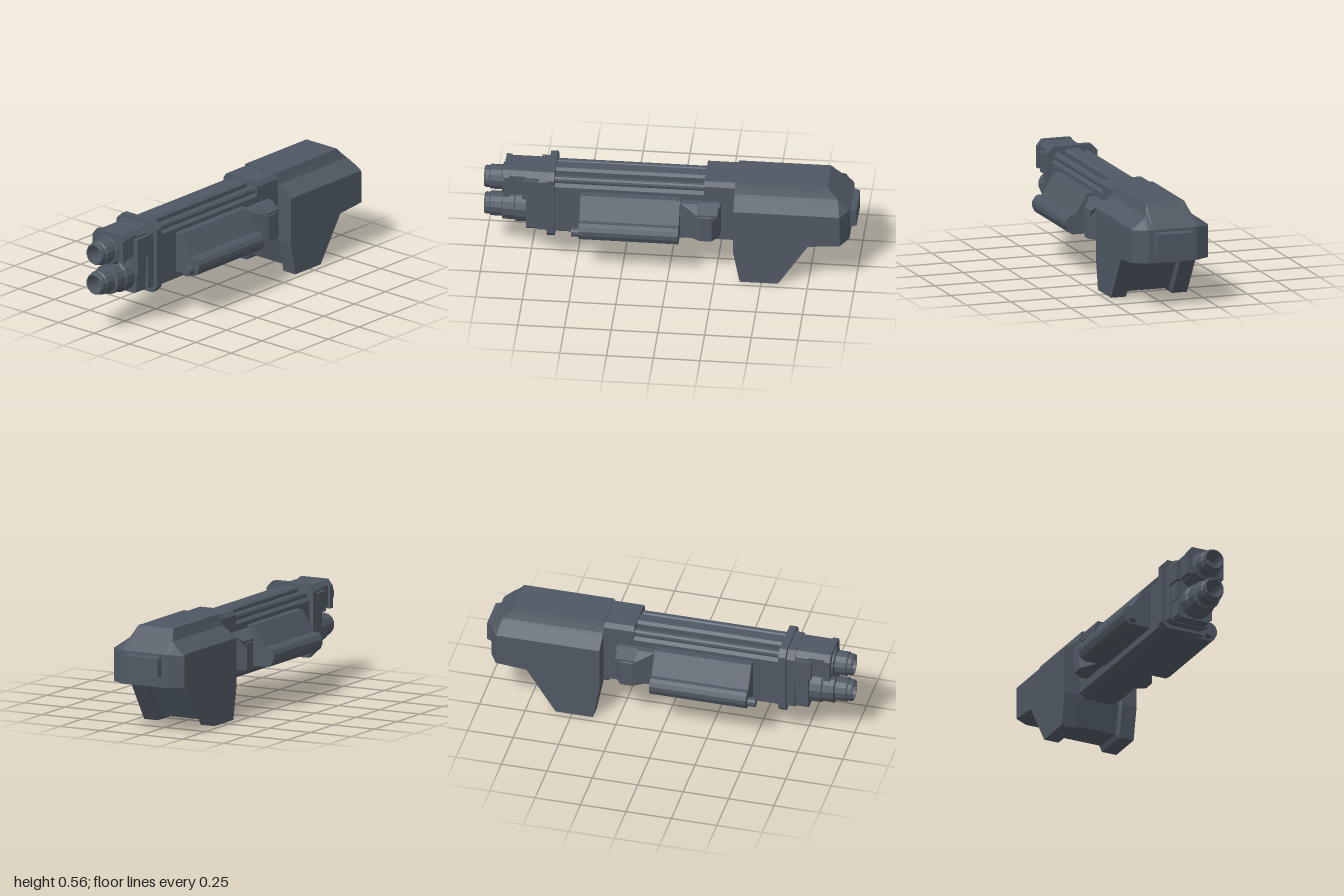
import * as THREE from 'three';
import { ConvexGeometry } from 'three/addons/geometries/ConvexGeometry.js';

const material = new THREE.MeshStandardMaterial({ color: 0x4f5863, flatShading: true });

export function createModel() {
  const model = new THREE.Group();
  const add = (name, geometry) => {
    const mesh = new THREE.Mesh(geometry, material);
    mesh.name = name;
    model.add(mesh);
    return mesh;
  };

  // Extrudes an x/y outline from z0 to z1
  const prism = (name, points, z0, z1) => {
    const shape = new THREE.Shape(points.map(([x, y]) => new THREE.Vector2(x, y)));
    const geometry = new THREE.ExtrudeGeometry(shape, { depth: z1 - z0, bevelEnabled: false });
    return add(name, geometry.translate(0, 0, z0));
  };
  // Symmetric outline from its +x half
  const both = (half) => [...half, ...half.map(([x, y]) => [-x, y]).reverse()];
  const box = (name, x0, x1, y0, y1, z0, z1) =>
    add(name, new THREE.BoxGeometry(Math.abs(x1 - x0), y1 - y0, z1 - z0)
      .translate((x0 + x1) / 2, (y0 + y1) / 2, (z0 + z1) / 2));
  const rod = (name, x, y, r, z0, z1, sides = 12) =>
    add(name, new THREE.CylinderGeometry(r, r, z1 - z0, sides).rotateX(Math.PI / 2)
      .translate(x, y, (z0 + z1) / 2));

  // Rear housing: side profiles lofted across x, recessed between the two feet
  const profile = (x, topY, topZ, rearY, rearZ, inset) => [
    [-0.35, topY], [topZ, topY], [rearZ, rearY], [rearZ, 0.26],
    [-0.75 + inset, 0.245 + inset * 0.6], [-0.59 + inset * 0.6, inset],
    [-0.385 - inset, inset], [-0.35 - inset * 0.7, 0.18],
  ].map(([z, y]) => [x, y, z]);
  const half = [
    profile(0.108, 0.56, -0.845, 0.44, -0.965, 0.026),
    profile(0.118, 0.53, -0.87, 0.44, -0.965, 0.026),
    profile(0.13, 0.5, -0.90, 0.44, -0.965, 0),
    profile(0.145, 0.49, -0.905, 0.44, -0.96, 0),
    profile(0.215, 0.44, -0.918, 0.43, -0.92, 0),
  ];
  const mirrored = half.map((ring) => ring.map(([x, y, z]) => [-x, y, z])).reverse();
  const rings = [...mirrored, ...half];
  const n = 8, index = [], last = (rings.length - 1) * n;
  for (let i = 0; i < rings.length - 1; i++) {
    for (let j = 0; j < n; j++) {
      const a = i * n + j, b = i * n + (j + 1) % n;
      index.push(a, a + n, b, b, a + n, b + n);
    }
  }
  for (let k = 1; k < n - 1; k++) {
    const j = (4 + k) % n, m = (5 + k) % n;
    index.push(4, j, m, last + 4, last + m, last + j);
  }
  const housing = new THREE.BufferGeometry();
  housing.setAttribute('position', new THREE.Float32BufferAttribute(rings.flat(2), 3));
  housing.setIndex(index);
  const housingFlat = housing.toNonIndexed();
  housingFlat.computeVertexNormals();
  add('rearHousing', housingFlat);

  // Tapered block on the back face
  const backBlock = [];
  for (const s of [-1, 1]) {
    for (const [x, y, z] of [[0.105, 0.31, -0.95], [0.105, 0.43, -0.95], [0.095, 0.32, -1], [0.095, 0.42, -1]]) {
      backBlock.push(new THREE.Vector3(s * x, y, z));
    }
  }
  add('backBlock', new ConvexGeometry(backBlock));

  // Receiver and long body
  prism('receiver', both([[0.08, 0.175], [0.118, 0.2], [0.118, 0.528], [0.1, 0.553]]), -0.42, -0.185);
  prism('body', both([[0.082, 0.175], [0.118, 0.2], [0.118, 0.475], [0.1, 0.49]]), -0.2, 0.62);
  prism('topRail', both([[0.045, 0.48], [0.045, 0.532], [0.03, 0.545]]), -0.2, 0.62);

  // Front clamp plate and stepped muzzle block
  prism('clampPlate', both([[0.11, 0.163], [0.142, 0.195], [0.142, 0.525], [0.108, 0.56]]), 0.615, 0.655);
  prism('muzzleBlock', both([[0.082, 0.18], [0.118, 0.2], [0.118, 0.5], [0.085, 0.545]]), 0.65, 0.7);
  prism('muzzleBlockFront', both([[0.082, 0.183], [0.1, 0.2], [0.1, 0.51], [0.075, 0.54]]), 0.7, 0.77);
  prism('upperShroud', both([[0.07, 0.4], [0.095, 0.4], [0.095, 0.515], [0.075, 0.54]]), 0.76, 0.865);
  prism('shroudLip', both([[0.068, 0.39], [0.107, 0.39], [0.107, 0.51], [0.08, 0.545]]), 0.86, 0.89);

  for (const s of [-1, 1]) {
    const side = s > 0 ? 'left' : 'right';
    rod(side + 'TopTube', s * 0.083, 0.505, 0.022, -0.2, 0.62);
    box(side + 'UpperPlate', s * 0.09, s * 0.122, 0.39, 0.5, 0.69, 0.79);
    box(side + 'LowerPlate', s * 0.09, s * 0.108, 0.29, 0.39, 0.69, 0.77);

    // Side pod with a rounded lower edge and a front plug
    prism(side + 'Pod', [
      [0.1, 0.235], [0.243, 0.235], [0.266, 0.25], [0.28, 0.28], [0.28, 0.305],
      [0.268, 0.327], [0.25, 0.34], [0.225, 0.34], [0.156, 0.455], [0.1, 0.455],
    ].map(([x, y]) => [s * x, y]), -0.06, 0.472);
    rod(side + 'PodPlug', s * 0.225, 0.267, 0.025, 0.46, 0.515);

    // Bracket between pod and housing, cut away at the rear corner
    const bracket = [];
    for (const [x, z] of [[0.15, -0.06], [0.215, -0.17], [0.215, -0.235], [0.15, -0.275]]) {
      const top = x > 0.2 ? 0.39 : 0.435;
      bracket.push(new THREE.Vector3(s * x, 0.245, z), new THREE.Vector3(s * x, top, z),
        new THREE.Vector3(s * 0.1, 0.245, z), new THREE.Vector3(s * 0.1, 0.44, z));
    }
    add(side + 'Bracket', new ConvexGeometry(bracket));
    // Wedge fin on the bracket
    const fin = [];
    for (const x of [0.14, 0.21]) {
      const drop = x > 0.2 ? 0.035 : 0;
      for (const [y, z] of [[0.44, -0.155], [0.44, -0.265], [0.34, -0.2]]) {
        fin.push(new THREE.Vector3(s * x, y - drop, z));
      }
    }
    add(side + 'BracketFin', new ConvexGeometry(fin));
  }

  // Twin barrels, stepped outside and hollow at the front
  const barrel = (name, y, collarEnd) => {
    const points = [
      [0, 0.66], [0.09, 0.66], [0.09, collarEnd - 0.01], [0.082, collarEnd],
      [0.082, 0.9], [0.067, 0.905], [0.067, 0.965], [0.06, 0.972], [0.06, 0.99],
      [0.055, 1], [0.049, 1], [0.046, 0.86], [0, 0.86],
    ].map(([r, z]) => new THREE.Vector2(r, z));
    add(name, new THREE.LatheGeometry(points, 14).rotateX(Math.PI / 2).translate(0, y, 0));
  };
  barrel('upperBarrel', 0.446, 0.87);
  barrel('lowerBarrel', 0.277, 0.84);

  return model;
}
